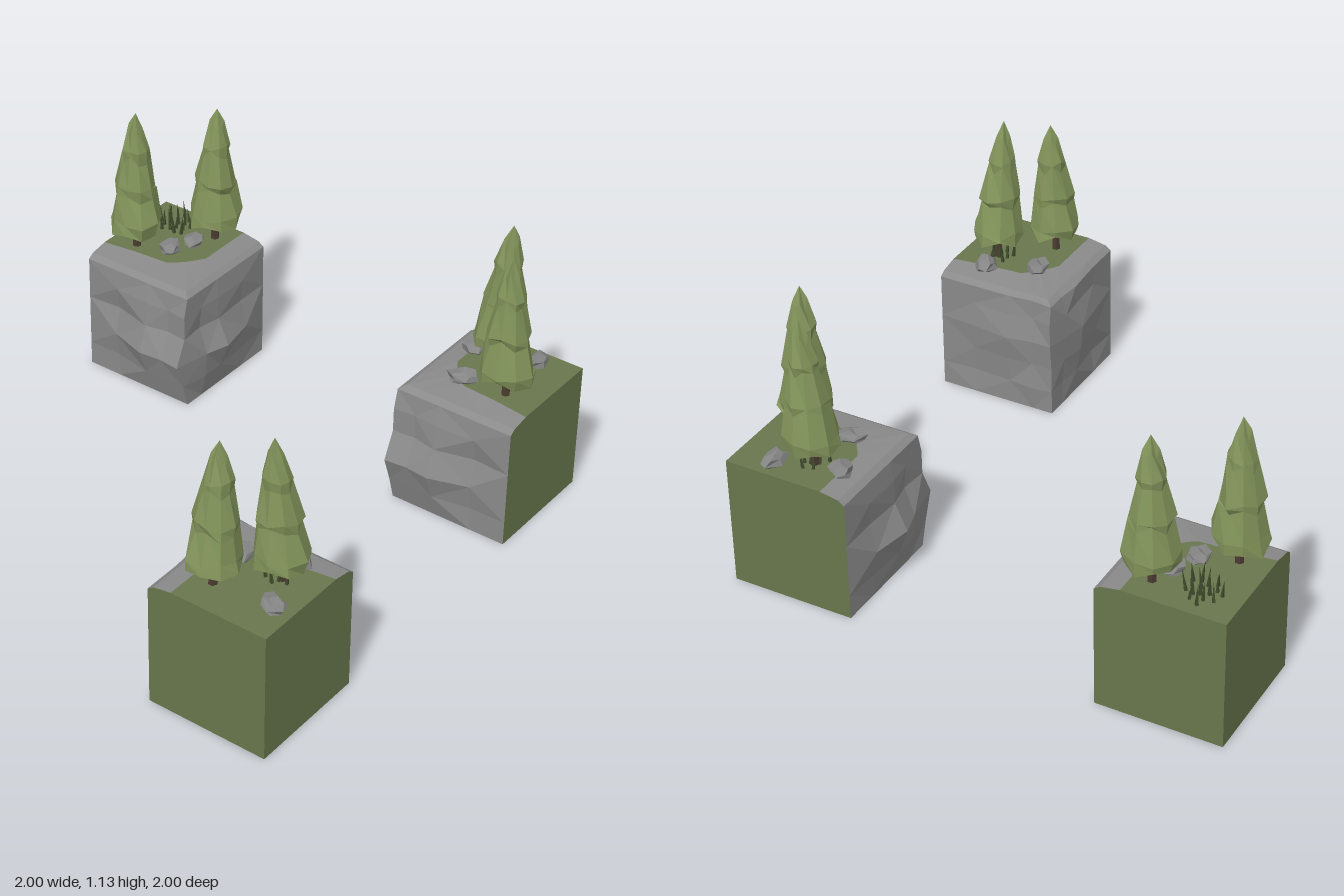
import * as THREE from 'three';

const mat = (color, side = THREE.FrontSide) =>
  new THREE.MeshStandardMaterial({ color, flatShading: true, side });
const GRASS = mat(0x68764c, THREE.DoubleSide);
const ROCK = mat(0x8a8a8a, THREE.DoubleSide);
const STONE = mat(0x858585);
const LEAF = mat(0x82935a);
const BARK = mat(0x4a3b30);
const BLADE = mat(0x3f4a2c);
const TOP = 0.53;

// small seeded generator, returns -1..1
function seeded(seed) {
  let s = seed * 7919 + 17;
  return () => {
    s = (s * 16807) % 2147483647;
    return (s / 2147483647) * 2 - 1;
  };
}

function named(name, geometry, material) {
  const m = new THREE.Mesh(geometry, material);
  m.name = name;
  return m;
}

// Triangles in corner space (u, y, v) become a mesh in the quadrant sx, sz
function surface(name, tris, material, sx, sz) {
  const pos = [];
  for (const t of tris) {
    const order = sx * sz > 0 ? t : [t[0], t[2], t[1]];
    for (const [u, y, v] of order) pos.push(sx * (0.5 + u), y, sz * (0.5 + v));
  }
  const g = new THREE.BufferGeometry();
  g.setAttribute('position', new THREE.Float32BufferAttribute(pos, 3));
  g.computeVertexNormals();
  return named(name, g, material);
}

// Columns run along one cliff, round the inner corner and along the other
const COLS = [[0.5, 0], [0.35, 0], [0.19, 0], [0.09, 0], [0, 0], [0, 0.09], [0, 0.19], [0, 0.35], [0.0, 0.5]];
const INNER = [[0.5, 0.1], [0.37, 0.1], [0.25, 0.1], [0.22, 0.12], [0.18, 0.15], [0.15, 0.18], [0.13, 0.21], [0.12, 0.35], [0.1, 0.5]];
const ROWS = [0, 0.1, 0.21, 0.32, 0.42, 0.5];

// Outward bulge of the cliffs, one line per row, in hundredths
const STRONG = [
  [0, 0, 0, 0, 0, 0, 0, 0, 0],
  [0, 1, 2, 2, 3, 3, 3, 0, 0],
  [0, 3, 6, 3, 7, 6, 7, 2, 0],
  [0, 0, 1, -1, 2, 1, 3, -1, 0],
  [0, 1, 1, 0, 2, 1, 2, 1, 0],
  [0, 0, 0, 0, 0, 0, 0, 0, 0],
];
const MILD = [
  [0, 0, 0, 0, 0, 0, 0, 0, 0],
  [0, -1, 1, 0, 0, 1, 0, -1, 0],
  [0, 1, 3, 1, 0, 0, 1, 0, 0],
  [0, 2, 4, 2, 1, 1, 3, 1, 0],
  [0, 0, 1, 2, 1, -1, 1, 0, 0],
  [0, 0, 1, 0, 0, -1, 0, 0, 0],
];

function block(sx, sz, bulge) {
  const g = new THREE.Group();
  g.name = 'cliffBlock';

  // rock cliffs and the rounded rim above them
  const grid = ROWS.map((y, r) => COLS.map(([u, v], c) => {
    const d = bulge[r][c] / 100;
    return c < 4 ? [u, y, v - d] : [u - d, y, v];
  }));
  grid.push(COLS.map(([u, v], c) => [
    c < 4 ? u : 0.025, 0.517, c > 4 ? v : 0.025,
  ]));
  grid.push(INNER.map(([u, v]) => [u, TOP, v]));
  const rock = [];
  for (let r = 0; r < grid.length - 1; r++) {
    for (let c = 0; c < COLS.length - 1; c++) {
      const a = grid[r][c], b = grid[r][c + 1], d = grid[r + 1][c], e = grid[r + 1][c + 1];
      if ((r + c) % 2) rock.push([a, b, e], [a, e, d]);
      else rock.push([a, b, d], [b, e, d]);
    }
  }
  g.add(surface('rockCliff', rock, ROCK, sx, sz));

  // grassy top and the two flat outer walls; the underside is open
  const grass = [];
  for (let c = 0; c < INNER.length - 1; c++) {
    const [p, q] = [INNER[c], INNER[c + 1]];
    grass.push([[0.5, TOP, 0.5], [p[0], TOP, p[1]], [q[0], TOP, q[1]]]);
  }
  g.add(surface('grassTop', grass, GRASS, sx, sz));
  const edge = [[0, 0], [0, 0.5], [0.025, 0.517], [0.1, TOP], [0.5, TOP]];
  const walls = [];
  for (let i = 0; i < edge.length - 1; i++) {
    const [[a, ya], [b, yb]] = [edge[i], edge[i + 1]];
    walls.push([[0.5, 0, 0.5], [0.5, ya, a], [0.5, yb, b]]);
    walls.push([[0.5, 0, 0.5], [b, yb, 0.5], [a, ya, 0.5]]);
  }
  g.add(surface('outerWalls', walls, GRASS, sx, sz));
  return g;
}

// Tiered conifer with ragged skirts; lean shifts the tip in x and z
function tree(x, z, seed, height = 0.6, leanX = 0, leanZ = 0) {
  const g = new THREE.Group();
  g.name = 'tree';
  const rand = seeded(seed);
  const profile = [[0, 0.12], [0.1, 0.09], [0.103, 0.13], [0.077, 0.25], [0.082, 0.28],
    [0.052, 0.41], [0.054, 0.44], [0.028, 0.53], [0, 0.6]];
  const sides = 9, n = profile.length;
  const leaf = new THREE.LatheGeometry(profile.map((p) => new THREE.Vector2(...p)), sides);
  const jitter = Array.from({ length: sides * n }, () => [rand(), rand()]);
  const p = leaf.attributes.position;
  for (let i = 0; i <= sides; i++) {
    for (let j = 1; j < n - 1; j++) {
      const k = i * n + j, s = i % sides;
      const [a, b] = jitter[s * n + j];
      const r = 1 + a * 0.1;
      const dy = b * 0.012 + (j % 2 ? (s % 2 ? 0.014 : -0.014) : 0);
      p.setXYZ(k, p.getX(k) * r, p.getY(k) + dy, p.getZ(k) * r);
    }
  }
  for (let k = 0; k < p.count; k++) {
    const y = p.getY(k), t = y / 0.6;
    p.setXYZ(k, p.getX(k) + leanX * t, (y * height) / 0.6, p.getZ(k) + leanZ * t);
  }
  leaf.computeVertexNormals();
  g.add(named('foliage', leaf, LEAF));
  const trunk = named('trunk', new THREE.CylinderGeometry(0.012, 0.018, 0.16, 6), BARK);
  trunk.position.y = 0.07;
  g.add(trunk);
  g.position.set(x, TOP, z);
  return g;
}

// Flattened, irregular boulder half sunk in the ground
function stone(x, z, rx, rz, turn, seed) {
  const geo = new THREE.DodecahedronGeometry(1, 0);
  const p = geo.attributes.position;
  for (let i = 0; i < p.count; i++) {
    const [a, b, c] = [p.getX(i), p.getY(i), p.getZ(i)];
    const k = 1 + 0.16 * Math.sin(a * 3.1 + b * 4.3 + c * 2.7 + seed * 2);
    p.setXYZ(i, a * k, b * k, c * k);
  }
  geo.computeVertexNormals();
  const m = named('stone', geo, STONE);
  m.scale.set(rx, 0.033, rz);
  m.rotation.y = turn;
  m.position.set(x, TOP + 0.012, z);
  return m;
}

// Clump of thin pointed blades
function blades(x, z, radius, count, seed) {
  const g = new THREE.Group();
  g.name = 'grassClump';
  const rand = seeded(seed);
  for (let i = 0; i < count; i++) {
    const a = i * 2.4, r = radius * Math.sqrt((i + 0.5) / count);
    const h = 0.08 + rand() * 0.02;
    const b = named('blade', new THREE.ConeGeometry(0.008, h, 4), BLADE);
    b.position.set(x + Math.cos(a) * r, TOP + h / 2 - 0.002, z + Math.sin(a) * r);
    b.rotation.set(rand() * 0.12, rand() * 3, rand() * 0.12);
    g.add(b);
  }
  return g;
}

export function createModel() {
  const model = new THREE.Group();
  model.name = 'forestCliffCorners';

  model.add(block(-1, 1, MILD), block(1, 1, STRONG), block(1, -1, STRONG));

  model.add(
    tree(-0.87, 0.68, 3, 0.575, 0.035, 0), tree(-0.71, 0.855, 5, 0.6, -0.03, -0.02),
    tree(0.86, 0.71, 7, 0.6, 0, 0.03), tree(0.68, 0.86, 11, 0.6, -0.01, 0),
    tree(0.665, -0.885, 13, 0.6, 0.005, 0), tree(0.9, -0.67, 17, 0.595, 0, 0.01),
  );

  // x, z, half width, half depth, turn
  const stones = [
    [-0.69, 0.665, 0.06, 0.045, 0.5], [-0.85, 0.92, 0.04, 0.06, -0.4], [-0.61, 0.855, 0.055, 0.045, 0.2],
    [0.665, 0.68, 0.045, 0.062, 0.3], [0.86, 0.6, 0.05, 0.045, 0.6], [0.92, 0.845, 0.06, 0.04, -0.2],
    [0.715, -0.755, 0.055, 0.045, 0.6], [0.81, -0.71, 0.05, 0.04, 0.1],
  ];
  stones.forEach((s, i) => model.add(stone(...s, i + 1)));

  model.add(
    blades(0.88, -0.85, 0.075, 16, 21),
    blades(0.85, 0.72, 0.06, 9, 23),
    blades(-0.71, 0.84, 0.055, 9, 29),
  );
  return model;
}
